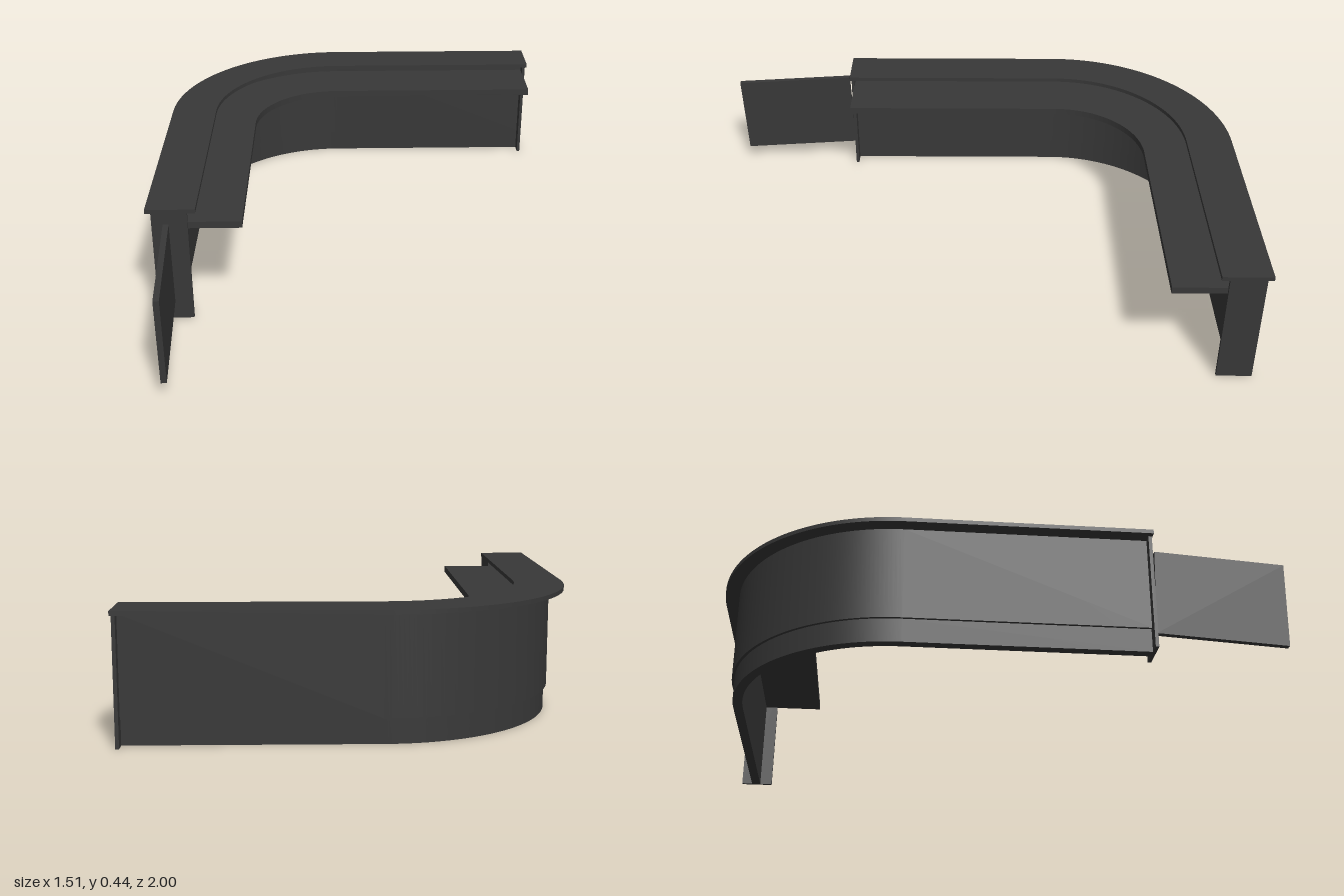
import * as THREE from 'three';
import { toCreasedNormals } from 'three/addons/utils/BufferGeometryUtils.js';

const CX = -0.09, CZ = -0.335, R = 0.665; // corner centre and outermost radius
const END_X = 0.755, END_Z = 0.52;        // free ends of the two arms

export function createModel() {
  const group = new THREE.Group();
  group.name = 'cornerCounter';
  const material = new THREE.MeshStandardMaterial({ color: 0x383838 });

  const add = (name, geometry) => {
    const mesh = new THREE.Mesh(geometry, material);
    mesh.name = name;
    group.add(mesh);
    return mesh;
  };

  // L-shaped band with a round corner, between two insets from the outer edge
  const band = (name, outer, inner, y0, y1, trim) => {
    const shape = new THREE.Shape();
    const ro = R - outer, ri = R - inner;
    const ex = END_X - trim, ey = -(END_Z - trim), cy = -CZ;
    shape.moveTo(CX - ri, ey);
    shape.lineTo(CX - ro, ey);
    shape.absarc(CX, cy, ro, Math.PI, Math.PI / 2, true);
    shape.lineTo(ex, cy + ro);
    shape.lineTo(ex, cy + ri);
    shape.absarc(CX, cy, ri, Math.PI / 2, Math.PI, false);
    shape.closePath();
    const geometry = new THREE.ExtrudeGeometry(shape, { depth: y1 - y0, bevelEnabled: false, curveSegments: 32 });
    geometry.rotateX(-Math.PI / 2).translate(0, y0, 0);
    add(name, toCreasedNormals(geometry, 0.5));
  };

  band('topShelf', 0, 0.174, 0.425, 0.44, 0);
  band('frontWall', 0.052, 0.097, 0.085, 0.425, 0.012);
  band('kickPlate', 0.062, 0.097, 0, 0.085, 0.012);
  band('workSurface', 0.097, 0.332, 0.36, 0.385, 0.013);

  // Panels closing the two ends
  const panelWidth = 0.125, panelMid = R - 0.0825;
  add('endPanelFront', new THREE.BoxGeometry(panelWidth, 0.425, 0.012))
    .position.set(CX - panelMid, 0.2125, END_Z - 0.009);
  add('endPanelSide', new THREE.BoxGeometry(0.012, 0.425, panelWidth))
    .position.set(END_X - 0.009, 0.2125, CZ - panelMid);

  // Swing gate standing slightly askew at the end of one arm
  const gate = add('gate', new THREE.BoxGeometry(0.02, 0.318, 0.468));
  gate.position.set(-0.67, 0.223, 0.761);
  gate.rotation.set(0.032, 0.055, 0);

  return group;
}
